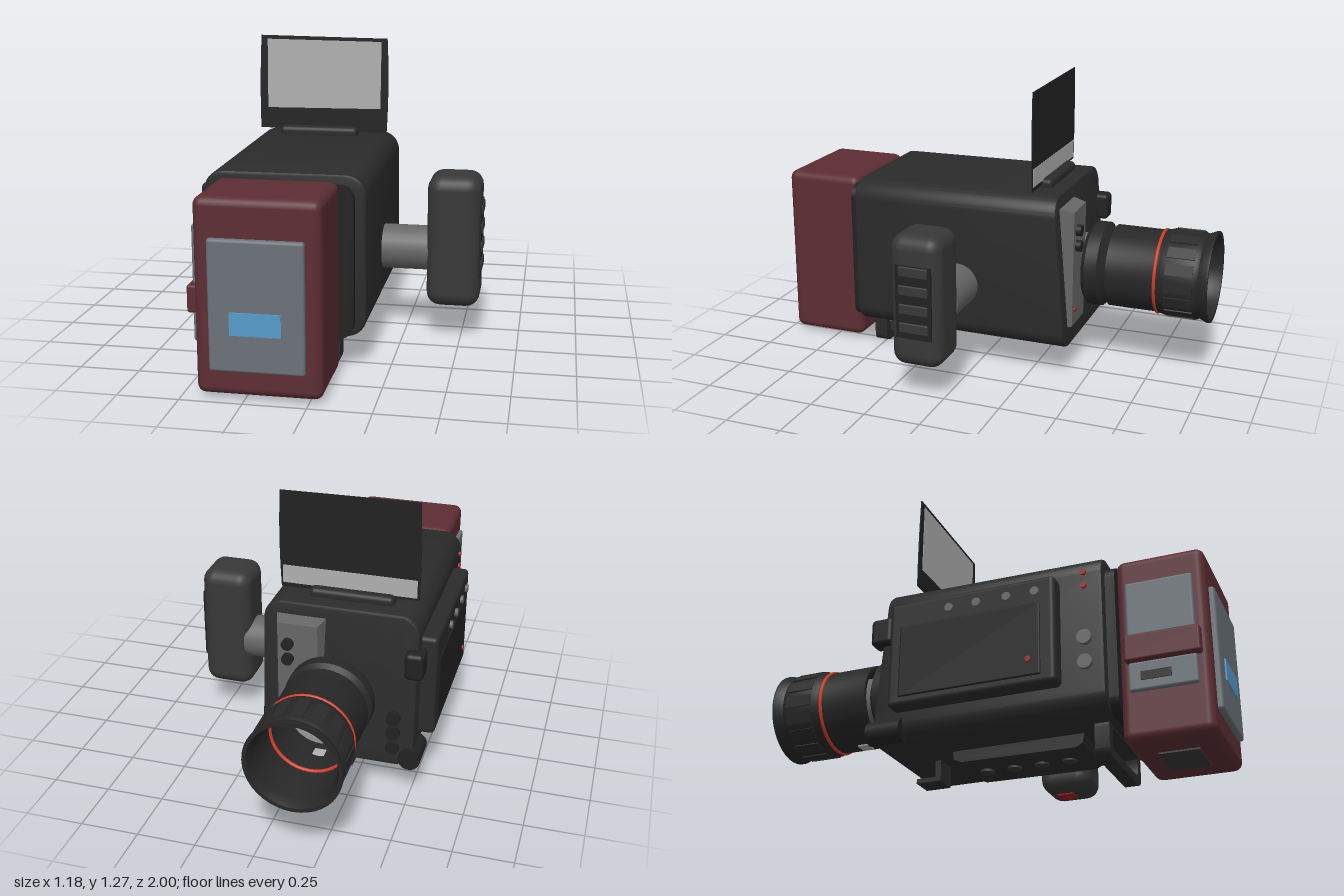
import * as THREE from 'three';
import { RoundedBoxGeometry } from 'three/addons/geometries/RoundedBoxGeometry.js';
import { toCreasedNormals } from 'three/addons/utils/BufferGeometryUtils.js';

const mat = (color, side = THREE.FrontSide) => new THREE.MeshStandardMaterial({ color, side });
const M = {
  black: mat(0x2b2b2b), dark: mat(0x222222), grip: mat(0x383838), grey: mat(0x666666),
  red: mat(0x5c2d33), panel: mat(0x6b7278), blue: mat(0x559bcb), orange: mat(0xd23c26),
  button: mat(0xa02020), screen: mat(0xb0b0b0), barrel: mat(0x272727, THREE.DoubleSide),
};

export function createModel() {
  const model = new THREE.Group();
  const add = (name, geo, material, x = 0, y = 0, z = 0) => {
    const mesh = new THREE.Mesh(geo, material);
    mesh.name = name;
    mesh.position.set(x, y, z);
    model.add(mesh);
    return mesh;
  };
  // Boxes are given by their limits on each axis
  const box = (name, m, x0, x1, y0, y1, z0, z1, r = 0) => {
    const s = [x1 - x0, y1 - y0, z1 - z0];
    const geo = r ? new RoundedBoxGeometry(...s, 3, r) : new THREE.BoxGeometry(...s);
    return add(name, geo, m, (x0 + x1) / 2, (y0 + y1) / 2, (z0 + z1) / 2);
  };
  const cylinder = (name, m, r, length, axis, x, y, z, r2 = r) => {
    const geo = new THREE.CylinderGeometry(r2, r, length, 24);
    if (axis === 'x') geo.rotateZ(Math.PI / 2);
    if (axis === 'z') geo.rotateX(-Math.PI / 2);
    return add(name, geo, m, x, y, z);
  };
  const roundRect = (x0, x1, y0, y1, r, Type = THREE.Shape) => {
    const s = new Type();
    s.moveTo(x0 + r, y0);
    s.lineTo(x1 - r, y0).absarc(x1 - r, y0 + r, r, -Math.PI / 2, 0);
    s.lineTo(x1, y1 - r).absarc(x1 - r, y1 - r, r, 0, Math.PI / 2);
    s.lineTo(x0 + r, y1).absarc(x0 + r, y1 - r, r, Math.PI / 2, Math.PI);
    s.lineTo(x0, y0 + r).absarc(x0 + r, y0 + r, r, Math.PI, Math.PI * 1.5);
    return s;
  };
  const slab = (shape, z0, z1, bevel = 0) => {
    const geo = new THREE.ExtrudeGeometry(shape, {
      depth: z1 - z0 - 2 * bevel, curveSegments: 8, bevelEnabled: bevel > 0,
      bevelSize: bevel, bevelOffset: -bevel, bevelThickness: bevel, bevelSegments: 2,
    });
    return geo.translate(0, 0, z0 + bevel);
  };

  // Main body, with a rear face that leans out at the bottom
  const bodyGeo = slab(roundRect(-0.51, 0.155, 0.135, 0.82, 0.085), -0.39, 0.575, 0.012);
  const p = bodyGeo.attributes.position;
  for (let i = 0; i < p.count; i++) {
    const y = p.getY(i), z = p.getZ(i);
    if (z < 0) p.setZ(i, z + (y - 0.5) * 0.08);
    else p.setY(i, y - (y - 0.135) * 0.015);
  }
  add('body', toCreasedNormals(bodyGeo, 0.6), M.black);
  add('frontRim', toCreasedNormals(slab(roundRect(-0.47, 0.11, 0.14, 0.77, 0.06), 0.57, 0.615), 0.6), M.dark);

  // Battery pack
  box('batteryPack', M.red, -0.44, 0.055, 0.015, 0.793, 0.61, 0.968, 0.035);
  box('batteryPlate', M.panel, -0.38, -0.007, 0.12, 0.64, 0.95, 0.99, 0.012);
  box('batteryDisplay', M.blue, -0.295, -0.095, 0.27, 0.36, 0.98, 0.996);
  box('upperSidePanel', M.panel, -0.457, -0.42, 0.44, 0.675, 0.65, 0.92, 0.01);
  box('lowerSidePanel', M.panel, -0.457, -0.42, 0.21, 0.33, 0.65, 0.92, 0.01);
  box('lowerSideSlot', M.dark, -0.461, -0.44, 0.25, 0.285, 0.7, 0.82);
  box('batteryLatch', M.red, -0.476, -0.42, 0.33, 0.44, 0.64, 0.94, 0.01);
  box('batteryBottomPlate', M.grip, -0.29, -0.09, 0.008, 0.03, 0.71, 0.87);

  // Side handle
  cylinder('handleArm', M.grey, 0.097, 0.24, 'x', 0.26, 0.387, 0.078);
  box('handleGrip', M.grip, 0.352, 0.582, 0.155, 0.732, -0.02, 0.21, 0.06);
  box('handleInset', M.dark, 0.57, 0.584, 0.29, 0.61, 0.015, 0.175);
  for (let i = 0; i < 4; i++) {
    const y = 0.315 + i * 0.082;
    box('handleRidge', M.grip, 0.57, 0.59, y, y + 0.045, 0.03, 0.16, 0.006);
  }
  box('handleButton', M.button, 0.425, 0.495, 0.146, 0.17, 0.04, 0.12, 0.008);

  // Flip-up screen and hinge
  box('screenHinge', M.black, -0.38, -0.02, 0.805, 0.855, -0.295, -0.205, 0.02);
  const frame = new THREE.Shape();
  frame.moveTo(-0.48, 0.84);
  frame.lineTo(0.112, 0.83);
  frame.quadraticCurveTo(0.125, 1.05, 0.114, 1.262);
  frame.lineTo(-0.472, 1.27);
  frame.quadraticCurveTo(-0.485, 1.05, -0.48, 0.84);
  add('screenFrame', slab(frame, -0.252, -0.248), M.dark);
  const glass = new THREE.Shape([
    [-0.445, 0.935], [0.083, 0.94], [0.087, 1.247], [-0.443, 1.253],
  ].map((q) => new THREE.Vector2(...q)));
  add('screenGlass', slab(glass, -0.249, -0.246), M.screen);
  box('screenBackStrip', M.screen, -0.47, 0.105, 0.85, 0.93, -0.254, -0.251);

  // Lens: mount, collar, hollow barrel
  const lx = -0.165, ly = 0.453;
  const lathe = (name, m, pts) => {
    const geo = new THREE.LatheGeometry(pts.map((q) => new THREE.Vector2(...q)), 40);
    geo.rotateX(-Math.PI / 2);
    return add(name, toCreasedNormals(geo, 0.5), m, lx, ly, 0);
  };
  cylinder('lensMount', M.grey, 0.13, 0.24, 'z', lx, ly, -0.5);
  lathe('lensCollar', M.barrel, [[0.12, 0.435], [0.165, 0.44], [0.188, 0.46], [0.188, 0.515], [0.14, 0.547], [0.1, 0.547]]);
  lathe('lensBarrel', M.barrel, [
    [0.165, 0.553], [0.182, 0.553], [0.182, 0.76], [0.187, 0.79], [0.193, 0.81], [0.193, 0.94],
    [0.186, 0.955], [0.201, 0.99], [0.201, 1.0], [0.185, 1.0], [0.168, 0.96], [0.165, 0.553],
  ]);
  lathe('lensGlass', M.screen, [[0.13, 0.62], [0.1, 0.632], [0.05, 0.642], [0, 0.645]]);
  for (const [name, r] of [['lensRing', 0.182], ['innerLensRing', 0.165]])
    add(name, new THREE.TorusGeometry(r, 0.008, 8, 40), M.orange, lx, ly, -0.77);
  for (let i = 0; i < 16; i++) {
    const a = (i / 16) * Math.PI * 2;
    const rib = add('focusRib', new THREE.BoxGeometry(0.006, 0.05, 0.12), M.black,
      lx + Math.cos(a) * 0.193, ly + Math.sin(a) * 0.193, -0.875);
    rib.rotation.z = a;
  }
  box('lensLockKnob', M.screen, lx - 0.03, lx + 0.03, 0.265, 0.29, -0.66, -0.605, 0.008);

  // Rear control plate: tapering outwards
  const plateGeo = new THREE.BoxGeometry(0.23, 0.56, 0.09);
  const pp = plateGeo.attributes.position;
  for (let i = 0; i < pp.count; i++)
    if (pp.getZ(i) < 0) pp.setXY(i, pp.getX(i) * 0.75, pp.getY(i) * 0.93);
  plateGeo.computeVertexNormals();
  add('rearControlPlate', plateGeo, M.grey, -0.01, 0.49, -0.385);
  for (const y of [0.66, 0.59]) cylinder('rearKnob', M.dark, 0.025, 0.035, 'z', 0.03, y, -0.435);
  cylinder('rearIndicator', M.button, 0.01, 0.01, 'z', 0.045, 0.3, -0.432);
  for (const y of [0.36, 0.29, 0.22]) cylinder('rearSocket', M.dark, 0.03, 0.05, 'z', -0.42, y, -0.4);
  cylinder('cornerSocket', M.dark, 0.048, 0.15, 'z', -0.495, 0.178, -0.355);

  // Side panel and its controls
  box('sidePanel', M.black, -0.578, -0.49, 0.25, 0.71, -0.32, 0.4, 0.02);
  box('sidePanelCover', M.dark, -0.583, -0.56, 0.285, 0.6, -0.27, 0.34, 0.008);
  for (const z of [-0.05, 0.07, 0.2, 0.32]) cylinder('sideButton', M.grey, 0.018, 0.02, 'x', -0.58, 0.645, z);
  cylinder('sideRecordButton', M.button, 0.012, 0.02, 'x', -0.58, 0.355, 0.29);
  for (const y of [0.44, 0.335]) cylinder('sideKnob', M.grey, 0.03, 0.03, 'x', -0.515, y, 0.5);
  for (const y of [0.73, 0.67]) cylinder('sideLight', M.button, 0.012, 0.025, 'x', -0.508, y, 0.5);
  box('sideClip', M.dark, -0.54, -0.46, 0.56, 0.68, -0.43, -0.33, 0.02);

  // Underside: base plate with screw sockets, front loop, rear hook
  const base = new THREE.Shape([
    [-0.15, 0.145], [-0.145, 0.1], [-0.11, 0.085], [0.38, 0.08], [0.41, 0.095], [0.42, 0.145],
  ].map(([z, y]) => new THREE.Vector2(-z, y)));
  add('basePlate', slab(base, 0, 0.27).rotateY(Math.PI / 2), M.black, -0.3, 0, 0);
  for (let i = 0; i < 4; i++) cylinder('baseSocket', M.grip, 0.03, 0.012, 'y', -0.165, 0.08, -0.05 + i * 0.12);
  const loop = roundRect(-0.38, 0.045, 0, 0.16, 0.04);
  loop.holes.push(roundRect(-0.34, 0.005, 0.035, 0.125, 0.025, THREE.Path));
  add('frontLoop', toCreasedNormals(slab(loop, 0.485, 0.545), 0.6), M.black);
  box('rearHookLeg', M.black, -0.23, -0.13, 0.045, 0.15, -0.26, -0.235);
  box('rearHookFoot', M.black, -0.23, -0.13, 0.045, 0.065, -0.345, -0.235);

  return model;
}
